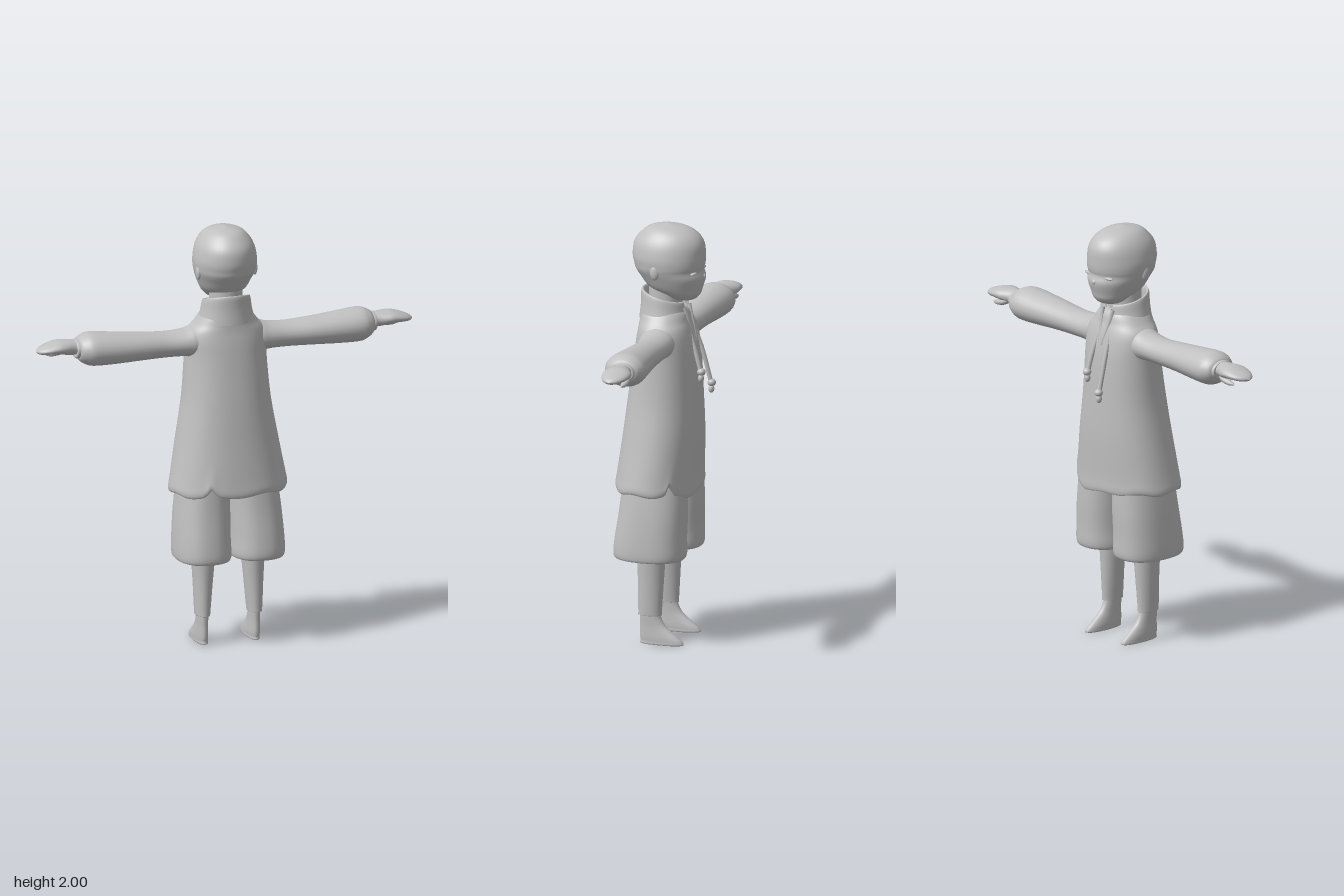
import * as THREE from 'three';

const grey = new THREE.MeshStandardMaterial({ color: 0xc0c0c0 });
grey.name = 'plain grey';
const greyOpen = grey;
greyOpen.side = THREE.DoubleSide;

// Smooth skin over oval rings [t, c1, c2, r1, r2] stacked along an axis ('x' or 'y').
// power squares the oval; gap leaves an opening (in radians) at the face side.
function loft(rings, { axis = 'y', power = 2, sides = 40, steps = 4, gap = 0, deform } = {}) {
  const rows = [];
  const at = i => rings[Math.max(0, Math.min(rings.length - 1, i))];
  for (let i = 0; i < rings.length - 1; i++) {
    for (let s = 0; s < steps; s++) {
      const f = s / steps;
      rows.push(rings[i].map((b, k) => {
        const a = at(i - 1)[k], c = at(i + 1)[k], d = at(i + 2)[k];
        return b + 0.5 * f * (c - a + f * (2 * a - 5 * b + 4 * c - d + f * (3 * (b - c) + d - a)));
      }));
    }
  }
  rows.push(at(rings.length));
  const round = v => Math.sign(v) * Math.abs(v) ** (2 / power);
  const cols = gap ? sides + 1 : sides;
  const pos = [], index = [];
  const p = new THREE.Vector3();
  rows.forEach(([t, c1, c2, r1, r2], j) => {
    for (let i = 0; i < cols; i++) {
      const a = -Math.PI / 2 + gap / 2 + (i / sides) * (Math.PI * 2 - gap);
      const u = c1 + r1 * round(Math.cos(a)), v = round(Math.sin(a)) * r2;
      if (axis === 'y') p.set(u, t, c2 + v);
      else p.set(t, u, c2 - v);
      if (deform) deform(p, a);
      pos.push(p.x, p.y, p.z);
      if (j < rows.length - 1 && i < sides) {
        const n = (i + 1) % cols, A = j * cols + i, B = j * cols + n;
        index.push(A, A + cols, B, B, A + cols, B + cols);
      }
    }
  });
  const g = new THREE.BufferGeometry();
  g.setAttribute('position', new THREE.Float32BufferAttribute(pos, 3));
  g.setIndex(index);
  g.computeVertexNormals();
  return g;
}

function mirrored(geometry) {
  const g = geometry.clone().scale(-1, 1, 1);
  const a = g.index.array;
  for (let i = 0; i < a.length; i += 3) [a[i], a[i + 1]] = [a[i + 1], a[i]];
  g.computeVertexNormals();
  return g;
}

export function createModel() {
  const model = new THREE.Group();
  const add = (name, geometry) => {
    const mesh = new THREE.Mesh(geometry, grey);
    mesh.name = name;
    model.add(mesh);
  };
  const pair = (name, geometry) => {
    add(name + 'Left', geometry);
    add(name + 'Right', mirrored(geometry));
  };
  const tube = (points, r) => new THREE.TubeGeometry(
    new THREE.CatmullRomCurve3(points.map(q => new THREE.Vector3(...q))), 16, r, 8);
  const ball = (x, y, z, sx, sy, sz) =>
    new THREE.SphereGeometry(1, 20, 14).scale(sx, sy, sz).translate(x, y, z);

  // Head, with a slight dent at eye level and a small chin
  add('head', loft([
    [1.637, 0, -0.09, 0.001, 0.001], [1.645, 0, -0.09, 0.055, 0.052], [1.67, 0, -0.08, 0.085, 0.088],
    [1.70, 0, -0.05, 0.108, 0.128], [1.75, 0, -0.037, 0.13, 0.155], [1.785, 0, -0.021, 0.142, 0.162],
    [1.81, 0, -0.02, 0.147, 0.168], [1.85, 0, -0.017, 0.148, 0.173], [1.91, 0, -0.018, 0.135, 0.167],
    [1.955, 0, -0.02, 0.108, 0.135], [1.985, 0, -0.013, 0.068, 0.085], [2.0, 0, -0.01, 0.001, 0.001],
  ]));
  pair('ear', ball(0.138, 1.79, 0.01, 0.012, 0.035, 0.022));
  pair('eyelid', ball(0.065, 1.782, -0.158, 0.032, 0.008, 0.014).rotateY(0));
  add('nose', ball(0, 1.755, -0.185, 0.014, 0.014, 0.012));
  add('neck', loft([[1.5, 0, 0, 0.08, 0.08], [1.6, 0, 0, 0.078, 0.078], [1.74, 0, 0, 0.078, 0.08]]));

  // Coat: hem turned inwards, two torn notches and a lower front edge
  const notch = (a, x, z, w) => {
    let d = a - Math.atan2(z, x);
    d = Math.atan2(Math.sin(d), Math.cos(d));
    return Math.exp(-((d / w) ** 2));
  };
  add('coat', loft([
    [0.82, 0, 0.02, 0.2, 0.13], [0.77, 0, 0.025, 0.25, 0.17], [0.742, 0, 0.027, 0.272, 0.186],
    [0.76, 0, 0.027, 0.282, 0.194], [0.82, 0, 0.023, 0.272, 0.19], [1.0, 0, 0.008, 0.24, 0.181],
    [1.18, 0, -0.001, 0.21, 0.168], [1.37, 0, -0.01, 0.195, 0.15], [1.46, 0, -0.01, 0.193, 0.137],
    [1.51, 0, -0.008, 0.18, 0.126], [1.545, 0, -0.004, 0.15, 0.118], [1.58, 0, 0, 0.125, 0.112],
    [1.6, 0, 0.004, 0.105, 0.098], [1.605, 0, 0.004, 0.06, 0.06],
  ], {
    power: 2.2, sides: 80,
    deform(p, a) {
      const near = THREE.MathUtils.clamp((0.9 - p.y) / 0.14, 0, 1);
      p.y += near * (0.045 * notch(a, 0.2, -0.15, 0.07) + 0.035 * notch(a, -0.1, 0.2, 0.08)
        - 0.025 * notch(a, 0.05, -0.2, 0.45) + 0.006 * Math.sin(a * 7));
    },
  }));

  // Standing collar, open at the front and lower there
  add('collar', loft([
    [1.55, 0, 0, 0.135, 0.122], [1.6, 0, 0.002, 0.122, 0.113], [1.645, 0, 0.004, 0.114, 0.11],
    [1.658, 0, 0.004, 0.108, 0.104], [1.645, 0, 0.004, 0.098, 0.094], [1.56, 0, 0.004, 0.098, 0.09],
  ], { gap: 0.55, deform: p => { p.y += 0.28 * p.z * THREE.MathUtils.clamp((p.y - 1.55) / 0.08, 0, 1); } }));
  pair('neckOpeningEdge', tube([[0.036, 1.61, -0.103], [0.024, 1.53, -0.122], [0.002, 1.44, -0.147]], 0.01));

  // Hanging drawstrings with knobs
  [['Right', -0.055, 1.22, -0.207], ['Left', 0.047, 1.295, -0.19]].forEach(([side, x, y, z]) => {
    add('drawstring' + side, tube([[x * 0.7, 1.5, -0.125], [x * 0.9, 1.4, -0.16], [x, y, z]], 0.011));
    add('drawstringKnob' + side, ball(x, y + 0.012, z, 0.02, 0.018, 0.02));
    add('drawstringTip' + side, ball(x, y - 0.018, z + 0.002, 0.014, 0.02, 0.014));
  });

  // Sleeves, cuffs and hands along x
  const along = { axis: 'x', sides: 28 };
  pair('sleeve', loft([
    [0.08, 1.455, -0.01, 0.05, 0.07], [0.15, 1.455, -0.01, 0.075, 0.085], [0.21, 1.452, -0.012, 0.064, 0.082],
    [0.3, 1.45, -0.014, 0.061, 0.077], [0.43, 1.453, -0.012, 0.067, 0.085], [0.55, 1.456, -0.015, 0.075, 0.095],
    [0.65, 1.46, -0.02, 0.08, 0.1], [0.69, 1.462, -0.022, 0.07, 0.09], [0.718, 1.464, -0.024, 0.05, 0.068],
    [0.725, 1.466, -0.024, 0.02, 0.03],
  ], along));
  pair('cuff', loft([
    [0.69, 1.466, -0.024, 0.045, 0.06], [0.725, 1.466, -0.025, 0.046, 0.062],
    [0.735, 1.467, -0.025, 0.04, 0.055], [0.73, 1.467, -0.025, 0.02, 0.03],
  ], along));
  pair('hand', loft([
    [0.7, 1.472, -0.026, 0.032, 0.043], [0.745, 1.474, -0.028, 0.036, 0.047], [0.785, 1.477, -0.03, 0.034, 0.062],
    [0.82, 1.48, -0.031, 0.03, 0.068], [0.87, 1.474, -0.03, 0.022, 0.058], [0.905, 1.468, -0.028, 0.014, 0.034],
    [0.922, 1.466, -0.026, 0.001, 0.001],
  ], along));
  pair('thumb', loft([
    [0.745, 1.462, -0.05, 0.008, 0.012], [0.78, 1.448, -0.066, 0.015, 0.018],
    [0.83, 1.437, -0.068, 0.012, 0.014], [0.862, 1.434, -0.064, 0.001, 0.001],
  ], along));

  // Wide shorts with hems turned inwards
  pair('shortsLeg', loft([
    [0.47, 0.125, 0.033, 0.05, 0.06], [0.435, 0.13, 0.033, 0.1, 0.13], [0.417, 0.131, 0.033, 0.122, 0.158],
    [0.44, 0.131, 0.033, 0.131, 0.172], [0.52, 0.131, 0.029, 0.129, 0.168], [0.65, 0.125, 0.018, 0.125, 0.16],
    [0.8, 0.115, 0.012, 0.117, 0.15],
  ], { power: 2.4 }));

  // Lower legs and narrow shoes
  pair('lowerLeg', loft([
    [0.15, 0.127, 0.035, 0.015, 0.03], [0.138, 0.127, 0.035, 0.032, 0.055], [0.16, 0.127, 0.035, 0.036, 0.057],
    [0.3, 0.124, 0.032, 0.046, 0.062], [0.42, 0.122, 0.031, 0.055, 0.068], [0.5, 0.122, 0.031, 0.056, 0.07],
  ], { sides: 24 }));
  pair('shoe', loft([
    [0, 0.127, -0.02, 0.001, 0.001], [0, 0.127, -0.022, 0.027, 0.098], [0.015, 0.127, -0.022, 0.029, 0.103],
    [0.035, 0.127, -0.01, 0.029, 0.094], [0.06, 0.127, 0.006, 0.027, 0.078], [0.09, 0.127, 0.022, 0.025, 0.061],
    [0.13, 0.127, 0.033, 0.025, 0.051], [0.17, 0.127, 0.035, 0.025, 0.049],
  ], { sides: 24, power: 2.2, deform: p => { p.y = Math.max(0, p.y); } }));

  return model;
}
